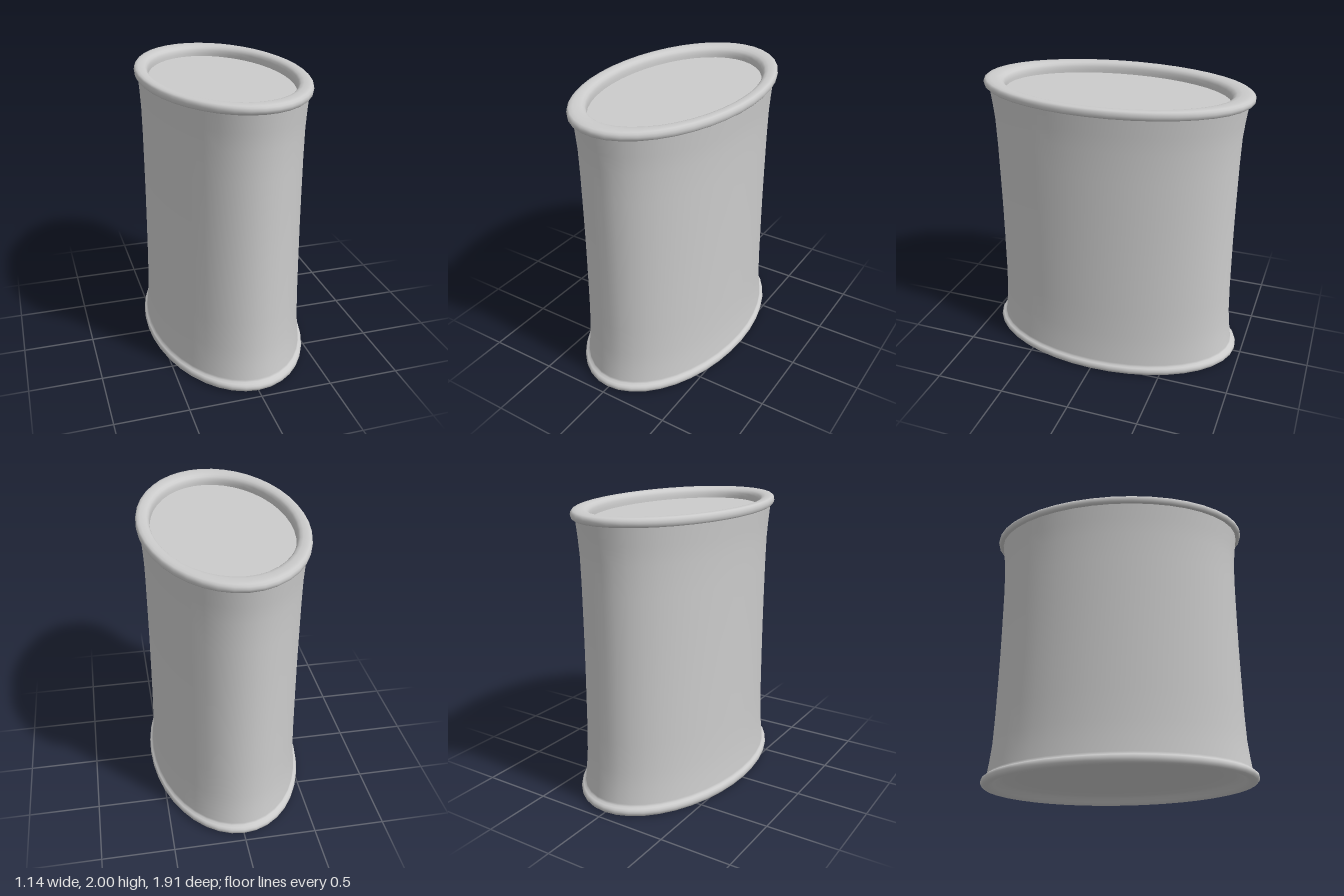
import * as THREE from 'three';

const SEGMENTS = 40;
const OVAL = 0.597; // width of the oval relative to its depth

export function createModel() {
  const group = new THREE.Group();
  const material = new THREE.MeshStandardMaterial({ color: 0xcccccc });

  const add = (name, geometry) => {
    geometry.scale(OVAL, 1, 1);
    const mesh = new THREE.Mesh(geometry, material);
    mesh.name = name;
    group.add(mesh);
  };
  // Profile points are [radius, height], running up the outside
  const lathe = (name, profile) =>
    add(name, new THREE.LatheGeometry(profile.map(([r, y]) => new THREE.Vector2(r, y)), SEGMENTS));

  // Hollow base, rounded bottom rim and waisted wall in one smooth skin
  lathe('wallAndBase', [
    [0, 0.06], [0.7, 0.06], [0.79, 0.056], [0.83, 0.042], [0.865, 0.018], [0.89, 0.004],
    [0.915, 0], [0.938, 0.005],
    [0.951, 0.018], [0.954, 0.033], [0.95, 0.048], [0.937, 0.058], [0.917, 0.064],
    [0.913, 0.08], [0.9, 0.18], [0.888, 0.3], [0.882, 0.5], [0.879, 0.8], [0.878, 1],
    [0.879, 1.2], [0.882, 1.5], [0.888, 1.7], [0.9, 1.82], [0.917, 1.95],
  ]);

  // Rounded top rim with a steep inner wall down to the lid
  lathe('topRim', [
    [0.905, 1.94], [0.937, 1.942], [0.95, 1.952], [0.954, 1.969], [0.95, 1.986],
    [0.935, 1.997], [0.905, 2], [0.86, 1.998], [0.83, 1.991], [0.81, 1.979],
    [0.8, 1.962], [0.797, 1.94], [0.797, 1.918],
  ]);

  // Sunken lid
  const lid = new THREE.CircleGeometry(0.798, SEGMENTS);
  lid.rotateX(-Math.PI / 2);
  lid.rotateY(Math.PI / 2);
  lid.translate(0, 1.92, 0);
  add('lid', lid);

  return group;
}
